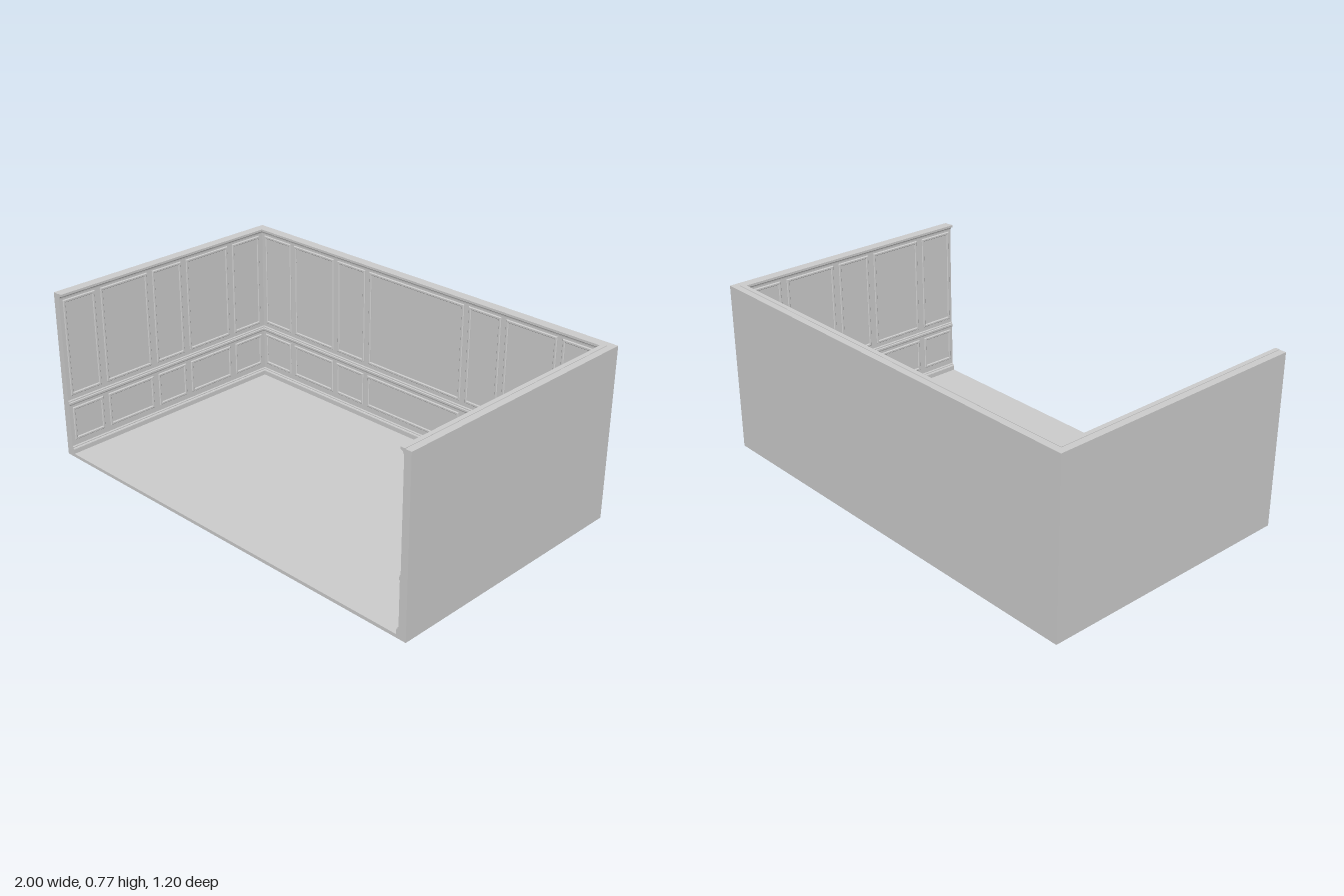
import * as THREE from 'three';

const material = new THREE.MeshStandardMaterial({ color: 0xcccccc, flatShading: true });
const W = 1, D = 0.6, H = 0.77, FLOOR = 0.015, LOW = 0.036, UP = 0.033;

// Sweeps a closed profile of [depth from outside, y] around the three walls, mitred at the corners.
function sweepAroundRoom(name, profile) {
  const stations = [
    (d) => [-W + d, D],
    (d) => [-W + d, -D + d],
    (d) => [W - d, -D + d],
    (d) => [W - d, D],
  ];
  const at = (i, s) => {
    const [d, y] = profile[i % profile.length];
    const [x, z] = stations[s](d);
    return [x, y, z];
  };
  const pos = [];
  for (let s = 0; s < 3; s++) {
    for (let i = 0; i < profile.length; i++) {
      const a = at(i, s), b = at(i + 1, s), c = at(i + 1, s + 1), e = at(i, s + 1);
      pos.push(...a, ...c, ...b, ...a, ...e, ...c);
    }
  }
  // end caps at the open front
  const contour = profile.map(([d, y]) => new THREE.Vector2(d, y));
  for (const [i, j, k] of THREE.ShapeUtils.triangulateShape(contour, [])) {
    pos.push(...at(i, 0), ...at(j, 0), ...at(k, 0));
    pos.push(...at(i, 3), ...at(k, 3), ...at(j, 3));
  }
  const geometry = new THREE.BufferGeometry();
  geometry.setAttribute('position', new THREE.Float32BufferAttribute(pos, 3));
  geometry.computeVertexNormals();
  const mesh = new THREE.Mesh(geometry, material);
  mesh.name = name;
  return mesh;
}

function rectangle(target, x0, y0, x1, y1) {
  target.moveTo(x0, y0);
  target.lineTo(x1, y0);
  target.lineTo(x1, y1);
  target.lineTo(x0, y1);
  target.closePath();
  return target;
}

// Raised picture-frame moulding, facing +z
function panelFrame(x0, x1, y0, y1) {
  const b = 0.003, w = 0.013;
  const shape = rectangle(new THREE.Shape(), x0 + b, y0 + b, x1 - b, y1 - b);
  shape.holes.push(rectangle(new THREE.Path(), x0 + w - b, y0 + w - b, x1 - w + b, y1 - w + b));
  const geometry = new THREE.ExtrudeGeometry(shape, {
    depth: 0.003, bevelEnabled: true, bevelSize: b, bevelThickness: b, bevelSegments: 1,
  });
  const mesh = new THREE.Mesh(geometry, material);
  mesh.name = 'panelFrame';
  return mesh;
}

// Upper and lower row of frames along one wall
function wallPanels(name, spans) {
  const group = new THREE.Group();
  group.name = name;
  for (const [a, b] of spans) {
    const lower = panelFrame(a, b, 0.078, 0.236);
    const upper = panelFrame(a, b, 0.293, 0.74);
    upper.position.z = LOW > UP ? UP - LOW : 0;
    group.add(lower, upper);
  }
  return group;
}

export function createModel() {
  const room = new THREE.Group();
  room.name = 'panelledRoom';

  // floor
  const floorDepth = 2 * D - LOW;
  const floor = new THREE.Mesh(new THREE.BoxGeometry(2 * (W - LOW), FLOOR, floorDepth), material);
  floor.position.set(0, FLOOR / 2, LOW / 2);
  floor.name = 'floor';
  room.add(floor);

  // walls, slightly thicker below the chair rail
  room.add(sweepAroundRoom('walls', [[0, 0], [LOW, 0], [LOW, 0.255], [UP, 0.255], [UP, H], [0, H]]));

  // skirting with a stepped, rounded top
  room.add(sweepAroundRoom('baseboard', [
    [0.03, FLOOR], [0.046, FLOOR], [0.046, 0.036], [0.044, 0.04], [0.041, 0.042],
    [0.041, 0.046], [0.038, 0.05], [0.03, 0.05],
  ]));

  // chair rail
  room.add(sweepAroundRoom('chairRail', [
    [0.03, 0.247], [0.038, 0.247], [0.04, 0.252], [0.04, 0.26], [0.037, 0.263],
    [0.037, 0.268], [0.034, 0.272], [0.03, 0.272],
  ]));

  // crown moulding, flush with the top of the walls
  room.add(sweepAroundRoom('crownMoulding', [
    [0.03, 0.748], [0.036, 0.748], [0.037, 0.753], [0.04, 0.758], [0.045, 0.761],
    [0.05, 0.762], [0.05, H + 0.002], [0.03, H + 0.002],
  ]));

  // back wall panels, mirrored about the wide middle one
  const half = [[0.295, 0.465], [0.49, 0.745], [0.77, 0.945]];
  const back = wallPanels('backWallPanels', [
    [-0.27, 0.27], ...half, ...half.map(([a, b]) => [-b, -a]),
  ]);
  back.position.z = -D + LOW - 0.001 + 0.003;
  room.add(back);

  // side wall panels, spans given as z from back to front
  const sideSpans = [[-0.54, -0.37], [-0.34, -0.09], [-0.06, 0.105], [0.135, 0.39], [0.42, 0.585]];
  const right = wallPanels('rightWallPanels', sideSpans.map(([a, b]) => [-b, -a]));
  right.rotation.y = Math.PI / 2;
  right.position.x = -W + LOW + 0.002;
  const left = wallPanels('leftWallPanels', sideSpans);
  left.rotation.y = -Math.PI / 2;
  left.position.x = W - LOW - 0.002;
  room.add(right, left);

  return room;
}
